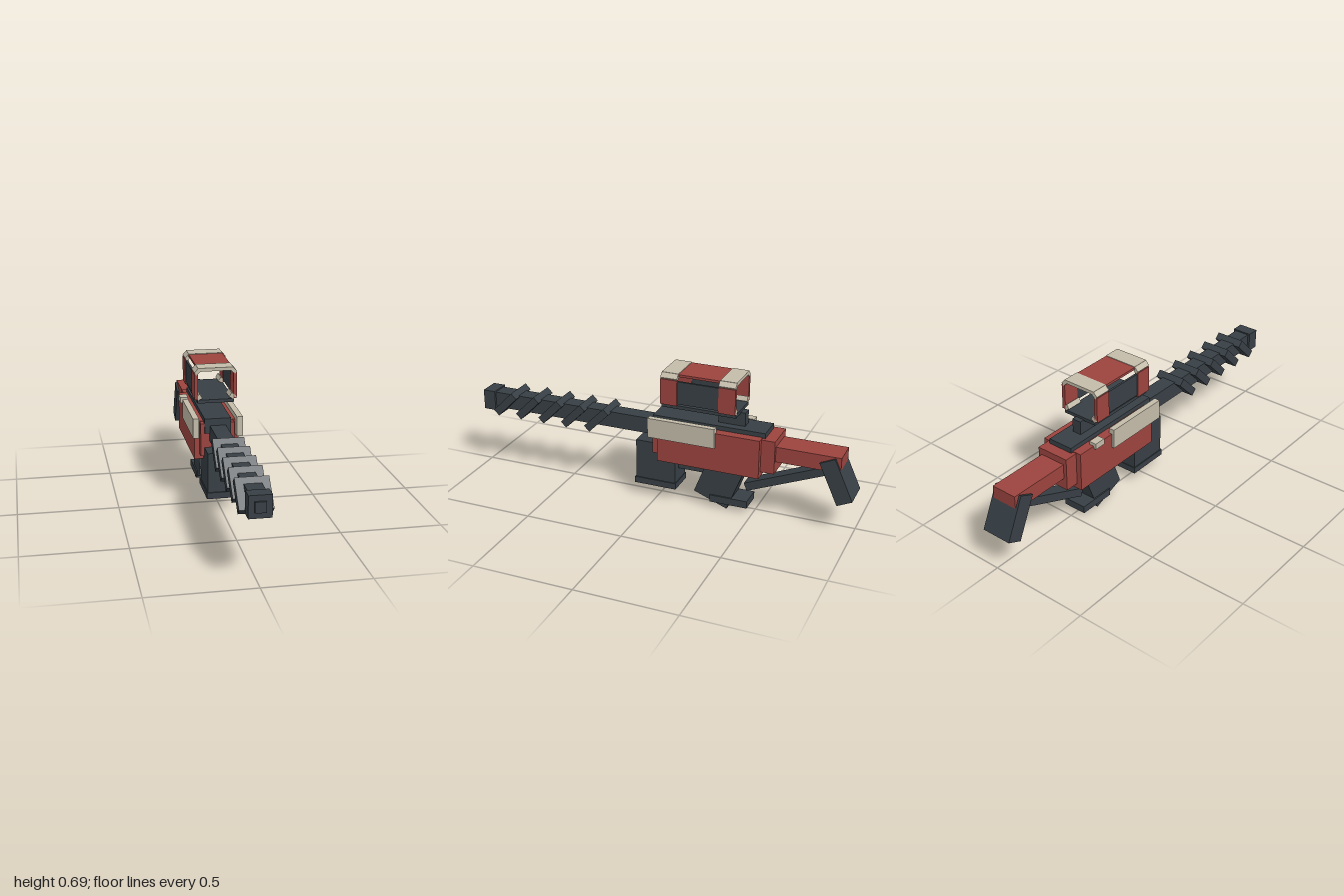
import * as THREE from 'three';

const material = (name, color) => {
  const m = new THREE.MeshStandardMaterial({ color });
  m.name = name;
  return m;
};

export function createModel() {
  const dark = material('dark gunmetal', 0x373f45);
  const red = material('brick red', 0x9c443f);
  const cream = material('cream', 0xc4bcaa);

  const model = new THREE.Group();
  model.name = 'rifle';

  // Box given by its extents on each axis
  function block(name, mat, [x0, x1], [y0, y1], [z0, z1], parent = model) {
    const mesh = new THREE.Mesh(new THREE.BoxGeometry(x1 - x0, y1 - y0, z1 - z0), mat);
    mesh.position.set((x0 + x1) / 2, (y0 + y1) / 2, (z0 + z1) / 2);
    mesh.name = name;
    parent.add(mesh);
    return mesh;
  }
  const wide = (h) => [-h, h];

  // Box given by size and centre, pitched about x
  function tilted(name, mat, size, y, z, angle) {
    const mesh = new THREE.Mesh(new THREE.BoxGeometry(...size), mat);
    mesh.position.set(0, y, z);
    mesh.rotation.x = angle;
    mesh.name = name;
    model.add(mesh);
    return mesh;
  }

  // Barrel, slanted cooling fins and muzzle
  block('barrel', dark, wide(0.04), [0.328, 0.41], [-0.02, 0.935]);
  for (let i = 0; i < 5; i++) {
    tilted('barrelFin', dark, [0.153, 0.152, 0.04], 0.365, 0.328 + i * 0.131, -Math.PI / 4);
  }
  block('muzzle', dark, wide(0.052), [0.313, 0.417], [0.925, 0.99]);
  block('muzzleTip', dark, wide(0.025), [0.34, 0.39], [0.98, 1.0]);

  // Receiver
  block('receiverCore', red, wide(0.085), [0.252, 0.42], [-0.61, 0.015]);
  block('receiverShell', red, wide(0.112), [0.226, 0.424], [-0.542, -0.02]);
  block('topRail', dark, wide(0.066), [0.37, 0.446], [-0.555, 0.022]);
  for (const s of [-1, 1]) {
    const plate = block('sidePlate', cream, [0.095, 0.125], [0.35, 0.45], [-0.32, 0.026]);
    plate.position.x *= s;
  }
  block('boltHandle', cream, [-0.125, -0.085], [0.41, 0.44], [-0.45, -0.39]);

  // Magazine, trigger guard and grip
  block('magazine', dark, wide(0.067), [0.08, 0.296], [-0.098, 0.112]);
  block('magazineBase', dark, wide(0.072), [0.061, 0.093], [-0.102, 0.118]);
  block('triggerGuard', dark, wide(0.025), [0.16, 0.185], [-0.28, -0.09]);
  tilted('grip', dark, [0.106, 0.28, 0.185], 0.164, -0.331, -0.37);
  block('gripFoot', dark, wide(0.06), [0.026, 0.063], [-0.472, -0.28]);

  // Stock, brace and butt
  block('stock', red, wide(0.067), [0.31, 0.387], [-0.926, -0.6]);
  tilted('stockBrace', dark, [0.07, 0.042, 0.46], 0.217, -0.667, 0.39);
  tilted('butt', dark, [0.157, 0.225, 0.08], 0.263, -0.909, 0.43);

  // Sight: open frame on a short post
  const sight = new THREE.Group();
  sight.name = 'sight';
  model.add(sight);
  block('sightPost', dark, wide(0.024), [0.44, 0.515], [-0.44, -0.305], sight);
  block('sightFloor', dark, wide(0.092), [0.51, 0.527], [-0.415, -0.035], sight);

  // Chamfered corner of the sight frame, extruded along z
  function corner(points, z0, z1) {
    const shape = new THREE.Shape(points.map(([x, y]) => new THREE.Vector2(x, y)));
    const geo = new THREE.ExtrudeGeometry(shape, { depth: z1 - z0, bevelEnabled: false });
    const mesh = new THREE.Mesh(geo, cream);
    mesh.position.z = z0;
    mesh.name = 'sightCorner';
    sight.add(mesh);
  }
  const topCorner = [[0.107, 0.667], [0.087, 0.689], [0.075, 0.673], [0.096, 0.652]];
  const bottomCorner = [[0.088, 0.525], [0.107, 0.537], [0.08, 0.558], [0.067, 0.536]];
  for (const [z0, z1] of [[-0.415, -0.33], [-0.12, -0.035]]) {
    block('sightTop', cream, wide(0.088), [0.672, 0.689], [z0, z1], sight);
    for (const s of [-1, 1]) {
      const side = block('sightSide', red, [0.089, 0.107], [0.53, 0.66], [z0, z1], sight);
      side.position.x *= s;
      corner(topCorner.map(([x, y]) => [x * s, y]), z0, z1);
      corner(bottomCorner.map(([x, y]) => [x * s, y]), z0, z1);
    }
  }

  // Panels joining the two sight frames
  block('sightRoof', red, wide(0.088), [0.674, 0.686], [-0.34, -0.11], sight);
  for (const s of [-1, 1]) {
    const panel = block('sightPanel', dark, [0.092, 0.103], [0.54, 0.655], [-0.34, -0.11], sight);
    panel.position.x *= s;
  }

  model.children.forEach((part) => { part.position.x -= 0.001; });
  return model;
}
